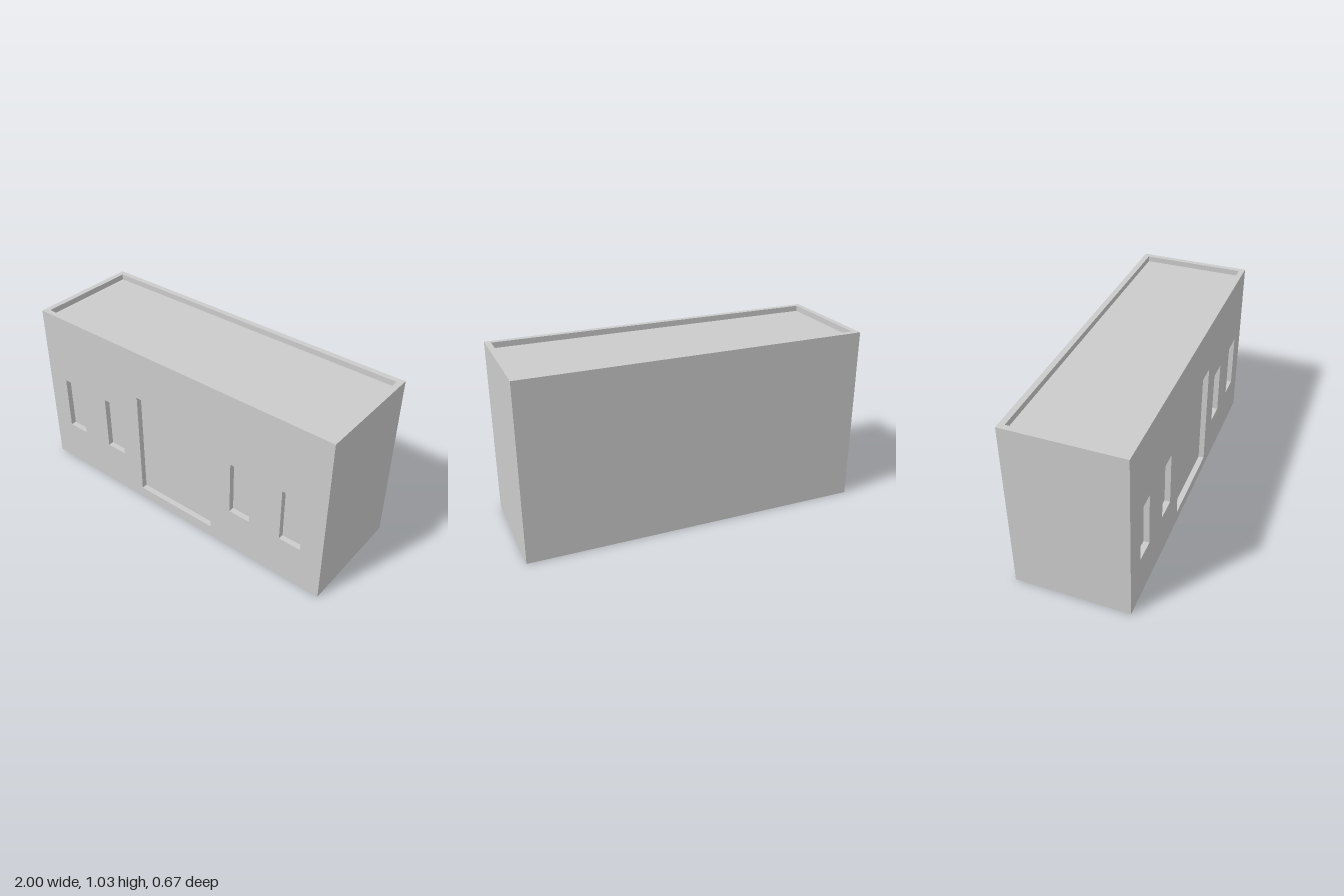
import * as THREE from 'three';

const W = 2, H = 1.033, D = 0.667; // overall size
const T = 0.033;                   // rim width and depth of every recess
const material = new THREE.MeshStandardMaterial({ color: 0xcccccc, side: THREE.DoubleSide });

// Faces of a box, in the order of BoxGeometry
const RIGHT = 0, LEFT = 1, TOP = 2, BOTTOM = 3, FRONT = 4, BACK = 5;

// Thin box shell with some faces left off
function shell(name, w, h, d, open) {
  const geo = new THREE.BoxGeometry(w, h, d);
  const index = Array.from(geo.index.array);
  geo.setIndex(index.filter((_, i) => !open.includes(Math.floor(i / 6))));
  geo.clearGroups();
  const mesh = new THREE.Mesh(geo, material);
  mesh.name = name;
  return mesh;
}

// Flat panel centred on the origin with rectangular holes
function panel(name, w, h, holes) {
  const outline = (path, x, y, pw, ph) => {
    path.moveTo(x - pw / 2, y - ph / 2);
    path.lineTo(x + pw / 2, y - ph / 2);
    path.lineTo(x + pw / 2, y + ph / 2);
    path.lineTo(x - pw / 2, y + ph / 2);
    path.closePath();
    return path;
  };
  const shape = outline(new THREE.Shape(), 0, 0, w, h);
  for (const o of holes) shape.holes.push(outline(new THREE.Path(), o.x, o.y, o.w, o.h));
  const mesh = new THREE.Mesh(new THREE.ShapeGeometry(shape), material);
  mesh.name = name;
  return mesh;
}

export function createModel() {
  const building = new THREE.Group();
  building.name = 'building';

  // Side and back walls, open below
  const walls = shell('walls', W, H, D, [TOP, BOTTOM, FRONT]);
  walls.position.y = H / 2;
  building.add(walls);

  // Doorway and two windows on each side of it
  const openings = [{ name: 'doorway', x: 0, y: 0.4, w: 0.533, h: 0.667 }];
  for (const x of [-0.8, -0.467, 0.467, 0.8]) {
    openings.push({ name: 'window', x, y: 0.433, w: 0.133, h: 0.333 });
  }

  // Front wall with its openings cut out
  const frontWall = panel('frontWall', W, H, openings.map((o) => ({ ...o, y: o.y - H / 2 })));
  frontWall.position.set(0, H / 2, D / 2);
  building.add(frontWall);

  // Shallow recess behind each opening
  for (const o of openings) {
    const recess = shell(o.name, o.w, o.h, T, [FRONT]);
    recess.position.set(o.x, o.y, D / 2 - T / 2);
    building.add(recess);
  }

  // Parapet rim around the sunken roof
  const roofW = W - 2 * T, roofD = D - 2 * T;
  const rim = panel('parapetRim', W, D, [{ x: 0, y: 0, w: roofW, h: roofD }]);
  rim.rotation.x = -Math.PI / 2;
  rim.position.y = H;
  building.add(rim);

  const roof = shell('roof', roofW, T, roofD, [TOP]);
  roof.position.y = H - T / 2;
  building.add(roof);

  return building;
}
